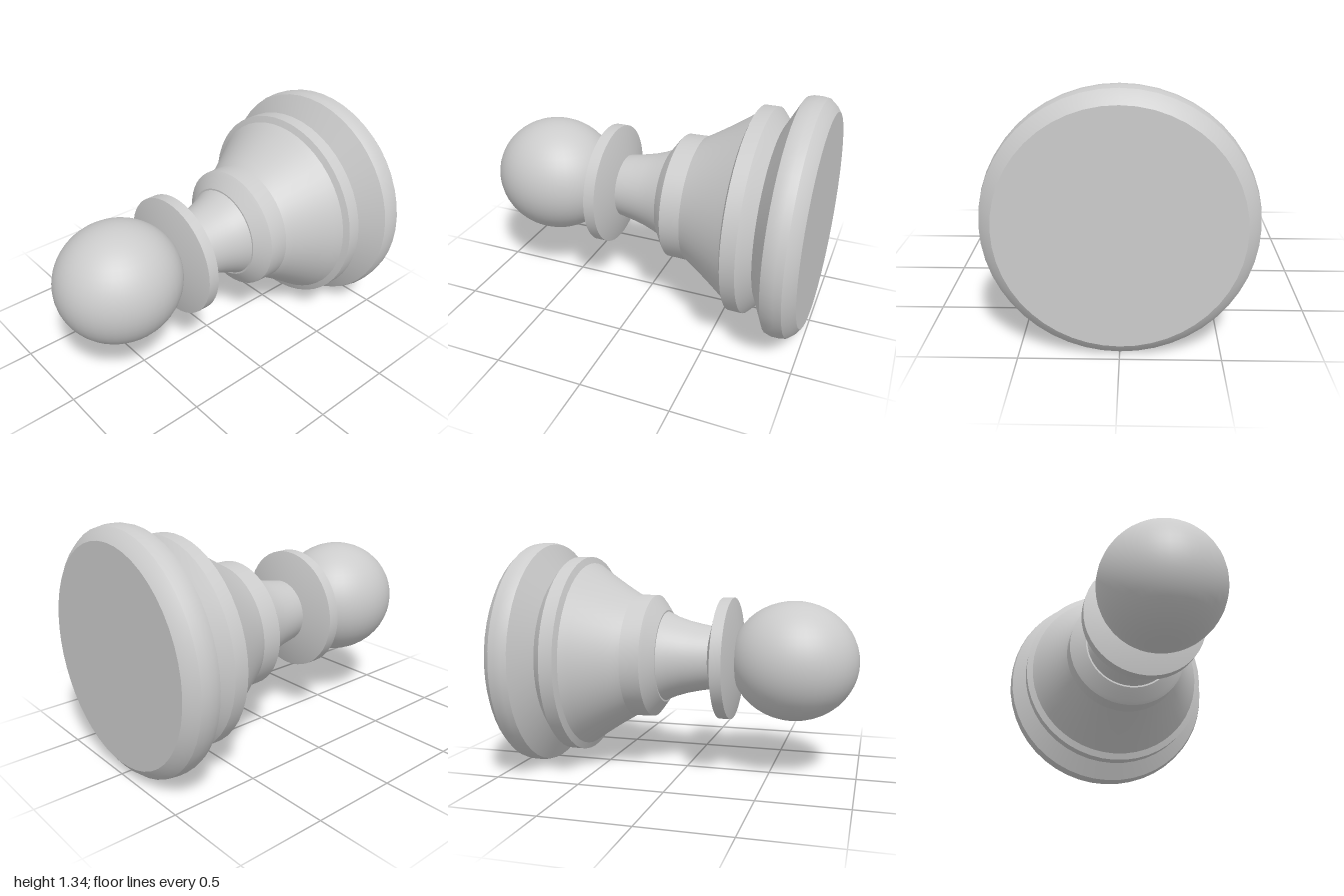
import * as THREE from 'three';
import { toCreasedNormals } from 'three/addons/utils/BufferGeometryUtils.js';

const AXIS_HEIGHT = 0.672;
const material = new THREE.MeshStandardMaterial({ color: 0xcccccc });

// Turned part: profile of [radius, z] pairs, from back to front
function turned(name, profile, crease = 0.45) {
  const points = profile.map(([r, z]) => new THREE.Vector2(r, z));
  const geometry = toCreasedNormals(new THREE.LatheGeometry(points, 48), crease);
  geometry.rotateX(Math.PI / 2);
  const mesh = new THREE.Mesh(geometry, material);
  mesh.name = name;
  return mesh;
}

export function createModel() {
  const pawn = new THREE.Group();
  pawn.name = 'pawn';

  // Wide foot with a rounded rim
  pawn.add(turned('foot', [
    [0, -1], [0.6, -1], [0.635, -0.975], [0.665, -0.94], [0.672, -0.9],
    [0.672, -0.86], [0.663, -0.83], [0.505, -0.745], [0, -0.745],
  ]));

  // Flared body: rim, concave sweep and shoulder
  const sweep = new THREE.QuadraticBezierCurve(
    new THREE.Vector2(0.55, -0.585),
    new THREE.Vector2(0.435, -0.425),
    new THREE.Vector2(0.365, -0.3),
  ).getPoints(7).map((p) => [p.x, p.y]);
  pawn.add(turned('body', [
    [0, -0.75], [0.505, -0.75], [0.56, -0.705], [0.587, -0.68], [0.587, -0.6],
    ...sweep,
    [0.363, -0.185], [0.345, -0.17], [0.275, -0.12], [0, -0.12],
  ]));

  // Tapering neck
  pawn.add(turned('neck', [
    [0, -0.13], [0.27, -0.13], [0.238, -0.06], [0.215, 0.01], [0.197, 0.09], [0.183, 0.17], [0, 0.17],
  ]));

  // Bevelled collar
  pawn.add(turned('collar', [
    [0, 0.163], [0.185, 0.163], [0.355, 0.215], [0.355, 0.28], [0.195, 0.318], [0, 0.318],
  ], 0.3));

  // Slightly elongated ball
  const head = new THREE.Mesh(new THREE.SphereGeometry(1, 40, 24), material);
  head.name = 'head';
  head.scale.set(0.343, 0.343, 0.367);
  head.position.z = 0.633;
  pawn.add(head);

  pawn.position.y = AXIS_HEIGHT;
  const model = new THREE.Group();
  model.name = 'lyingPawn';
  model.add(pawn);
  return model;
}
